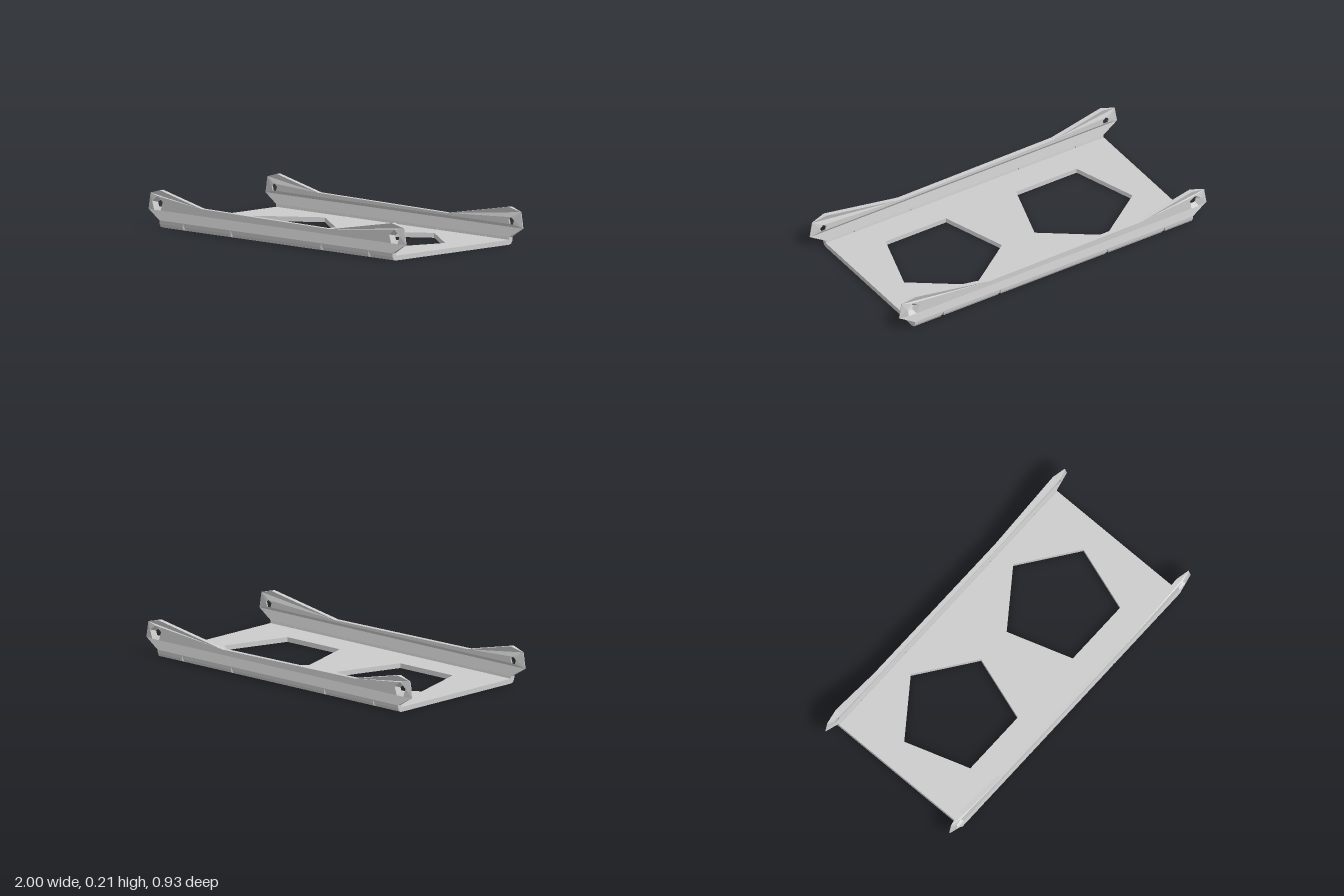
import * as THREE from 'three';

const material = new THREE.MeshStandardMaterial({ color: 0xcccccc, flatShading: true, side: THREE.DoubleSide });
const WALL_Z = 0.45, WALL_T = 0.026, HOLE_X = 0.92, HOLE_Y = 0.135;

const points = (list) => list.map(([x, y]) => new THREE.Vector2(x, y));

// Regular pentagon with one corner pointing up
function pentagon(cx, cy, r) {
  const list = [];
  for (let i = 0; i < 5; i++) {
    const a = Math.PI / 2 + (i * Math.PI * 2) / 5;
    list.push([cx + r * Math.cos(a), cy + r * Math.sin(a)]);
  }
  return new THREE.Path(points(list));
}

function extrude(shape, depth) {
  return new THREE.ExtrudeGeometry(shape, { depth, bevelEnabled: false });
}

// Move every vertex by a rule
function reshape(geometry, rule) {
  const pos = geometry.attributes.position;
  const v = new THREE.Vector3();
  for (let i = 0; i < pos.count; i++) {
    v.fromBufferAttribute(pos, i);
    rule(v);
    pos.setXYZ(i, v.x, v.y, v.z);
  }
  geometry.computeVertexNormals();
  return geometry;
}

function addMesh(parent, name, geometry) {
  const mesh = new THREE.Mesh(geometry, material);
  mesh.name = name;
  parent.add(mesh);
  return mesh;
}

// Flat floor with two pentagonal openings
function basePlate() {
  const shape = new THREE.Shape(points([[-0.905, -0.438], [0.905, -0.438], [0.905, 0.438], [-0.905, 0.438]]));
  for (const x of [-0.425, 0.425]) shape.holes.push(pentagon(x, 0, 0.335));
  return extrude(shape, 0.027).rotateX(-Math.PI / 2).translate(0, 0.003, 0);
}

// Upright flange: raised ears with tapered tips and funnel-shaped screw holes
function sideWall(side) {
  const shape = new THREE.Shape(points([
    [-0.905, 0.045], [0.905, 0.045], [1, 0.1], [0.985, 0.19], [0.9, 0.212],
    [0.42, 0.13], [-0.58, 0.14], [-0.9, 0.212], [-0.985, 0.19], [-1, 0.1],
  ]));
  for (const x of [-HOLE_X, HOLE_X]) shape.holes.push(pentagon(x, HOLE_Y, 0.043));
  const geometry = extrude(shape, WALL_T).translate(0, 0, -WALL_T / 2);
  return reshape(geometry, (v) => {
    const cx = Math.sign(v.x) * HOLE_X;
    const inHole = Math.hypot(v.x - cx, v.y - HOLE_Y) < 0.05;
    if (inHole && v.z * side < 0) {
      v.x = cx + (v.x - cx) * 0.5;
      v.y = HOLE_Y + (v.y - HOLE_Y) * 0.5;
    } else if (!inHole && Math.abs(v.x) > 0.95) {
      v.z *= 0.15;
    }
  }).translate(0, 0, side * WALL_Z);
}

// Folded corner between floor and flange, split by small triangular notches
function bend() {
  const group = new THREE.Group();
  const section = points([
    [-0.435, 0.003], [-0.452, 0.008], [-0.461, 0.024], [-0.463, 0.045], [-0.437, 0.045], [-0.435, 0.03],
  ]);
  const stops = [-0.905, -0.72, -0.35, 0.35, 0.72, 0.905];
  const half = 0.013;
  for (let i = 0; i < 5; i++) {
    const last = i === 4;
    const x0 = stops[i], x1 = stops[i + 1];
    const geometry = extrude(new THREE.Shape(section), x1 - x0).rotateY(Math.PI / 2).translate(x0, 0, 0);
    reshape(geometry, (v) => {
      const open = half * (1 - v.y / 0.045);
      if (i > 0 && v.x < x0 + 0.001) v.x += open;
      else if (!last && v.x > x1 - 0.001) v.x -= open;
    });
    addMesh(group, 'bendSegment', geometry);
  }
  return group;
}

export function createModel() {
  const model = new THREE.Group();
  model.name = 'mountingBracket';
  addMesh(model, 'basePlate', basePlate());
  for (const side of [1, -1]) {
    const name = side > 0 ? 'front' : 'back';
    addMesh(model, name + 'Wall', sideWall(side));
    const corner = bend();
    corner.name = name + 'Bend';
    if (side < 0) corner.rotation.y = Math.PI;
    model.add(corner);
  }
  return model;
}
